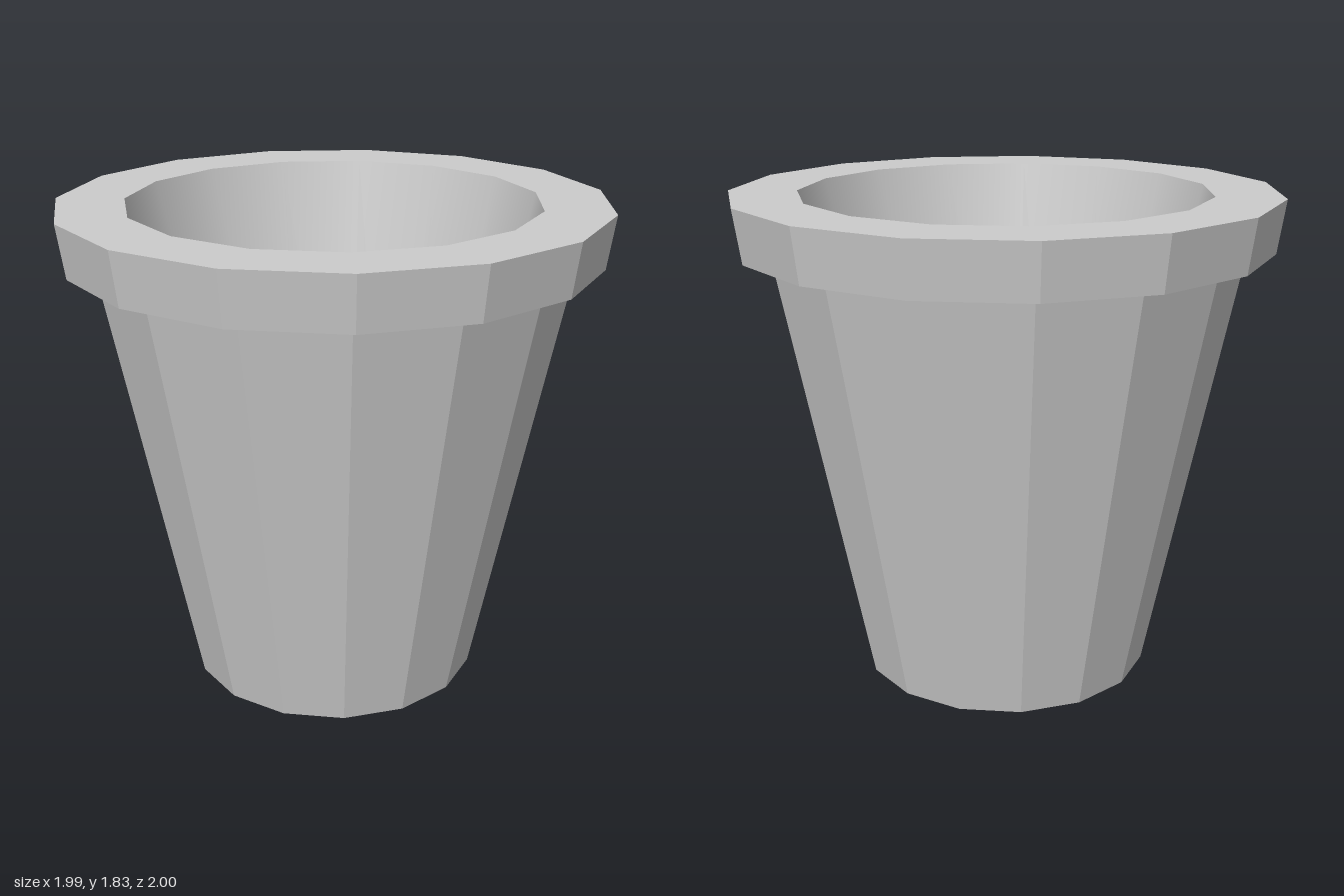
import * as THREE from 'three';
import { toCreasedNormals } from 'three/addons/utils/BufferGeometryUtils.js';

const SIDES = 15;
const TOP = 1.825, RIM_BASE = 1.63, FLOOR = 0.2;

// Revolve [radius, height] pairs with one corner pointing along +x
function revolve(profile, faceted) {
  const points = profile.map(([r, y]) => new THREE.Vector2(r, y));
  const geometry = new THREE.LatheGeometry(points, SIDES, Math.PI / 2);
  return faceted ? toCreasedNormals(geometry, 0.1) : geometry;
}

export function createModel() {
  const pot = new THREE.Group();
  pot.name = 'flowerPot';
  const faceted = new THREE.MeshStandardMaterial({ color: 0xcccccc, flatShading: true });
  const smooth = new THREE.MeshStandardMaterial({ color: 0xcccccc });

  const add = (name, profile, isFaceted) => {
    const mesh = new THREE.Mesh(revolve(profile, isFaceted), isFaceted ? faceted : smooth);
    mesh.name = name;
    mesh.position.x = -0.011; // centres the odd-sided outline
    pot.add(mesh);
  };

  // Closed base and tapered outer wall
  add('body', [[0, 0], [0.549, 0], [0.875, RIM_BASE]], true);
  // Overhanging collar with its flat underside and top
  add('rim', [[0.875, RIM_BASE], [0.977, RIM_BASE], [1.005, TOP], [0.755, TOP]], true);
  // Smooth inner wall, running downwards so that it faces inwards
  add('innerWall', [[0.755, TOP], [0.43, FLOOR]], false);
  // Floor of the cavity
  add('innerFloor', [[0.43, FLOOR], [0, FLOOR]], true);

  return pot;
}
